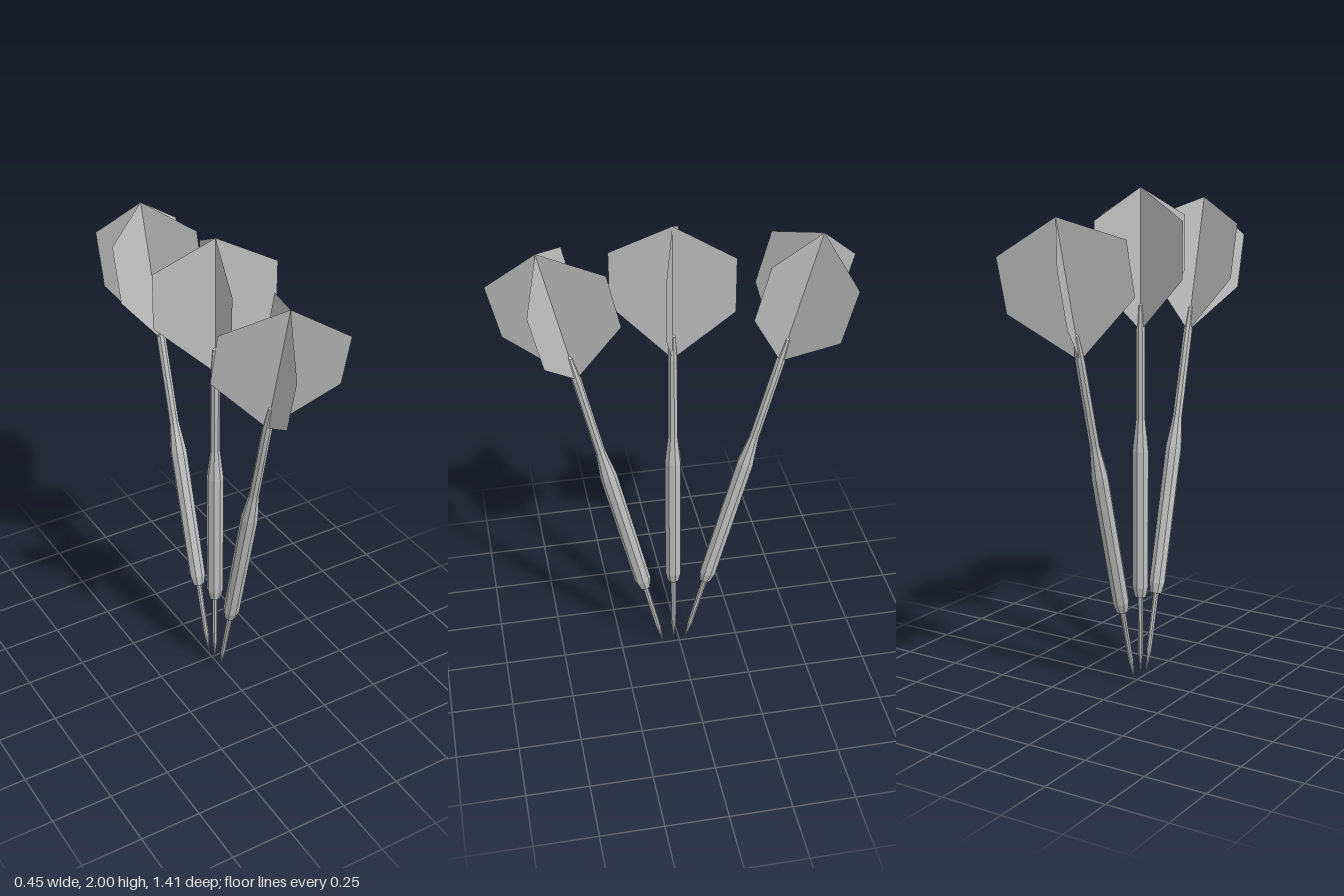
import * as THREE from 'three';

const metal = new THREE.MeshStandardMaterial({ color: 0xc0c0c0, flatShading: true, side: THREE.DoubleSide });
metal.name = 'light grey';

const SIDES = 8;

// faceted turned part from [radius, height] pairs
function turned(name, profile) {
  const points = profile.map(([r, y]) => new THREE.Vector2(r, y));
  const mesh = new THREE.Mesh(new THREE.LatheGeometry(points, SIDES, Math.PI / SIDES), metal);
  mesh.name = name;
  return mesh;
}

// thin kite-like plate spanning both sides of the shaft
function flightPlate() {
  const half = [[0, 1.43], [0.235, 1.648], [0.235, 1.868], [0, 1.985]];
  const mirrored = half.slice(1, 3).reverse().map(([x, y]) => [-x, y]);
  const outline = [...half, ...mirrored].map(([x, y]) => new THREE.Vector2(x, y));
  return new THREE.ShapeGeometry(new THREE.Shape(outline));
}

// one dart standing on its point at the local origin
function makeDart(name) {
  const dart = new THREE.Group();
  dart.name = name;
  dart.add(turned('point', [[0, 0], [0.011, 0.1], [0.012, 0.35]]));
  dart.add(turned('barrel', [[0, 0.342], [0.024, 0.342], [0.034, 0.385], [0.034, 0.95], [0.02, 1.075]]));
  dart.add(turned('shaft', [[0.02, 1.075], [0.019, 1.43], [0.011, 1.53], [0, 1.54]]));

  // two crossed plates
  const geometry = flightPlate();
  for (let i = 0; i < 2; i++) {
    const plate = new THREE.Mesh(geometry, metal);
    plate.name = 'flight' + (i + 1);
    plate.rotation.y = i * Math.PI / 2;
    dart.add(plate);
  }
  return dart;
}

export function createModel() {
  const model = new THREE.Group();
  model.name = 'darts';
  const deg = Math.PI / 180;

  // name, foot height, foot depth, lean, twist about own axis
  const darts = [
    ['frontDart', 0.005, 0.07, 13.1, -22.5],
    ['middleDart', 0.015, 0.026, 0, -16.2],
    ['backDart', 0.005, -0.02, -15.2, 30.5],
  ];
  for (const [name, y, z, lean, twist] of darts) {
    const dart = makeDart(name);
    dart.position.set(0, y, z);
    dart.rotation.set(lean * deg, twist * deg, 0);
    model.add(dart);
  }
  return model;
}
